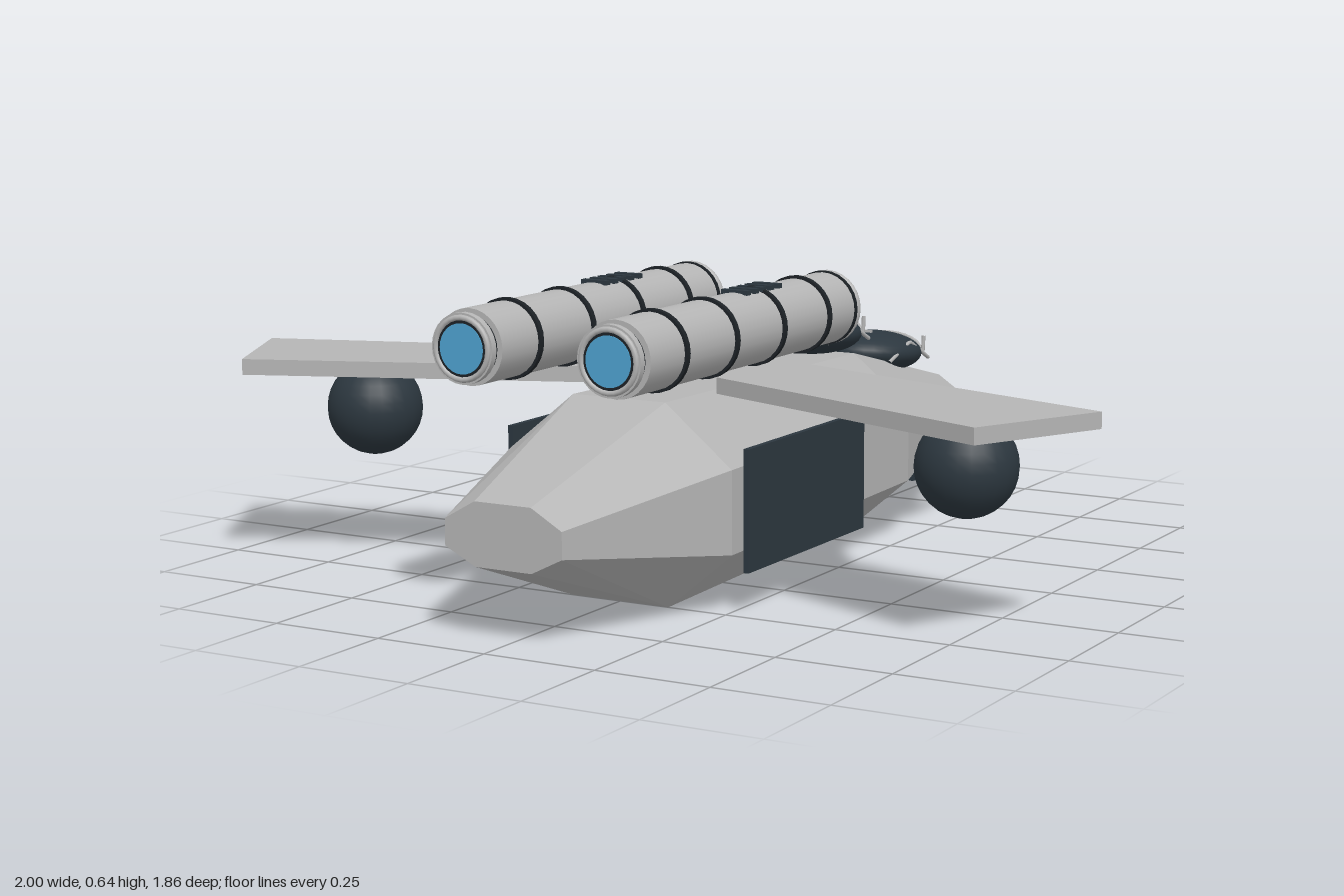
import * as THREE from 'three';

const mat = (name, color, extra = {}) => {
  const m = new THREE.MeshStandardMaterial({ color, ...extra });
  m.name = name;
  return m;
};

export function createModel() {
  const root = new THREE.Group();
  root.name = 'spacecraft';
  const hullGrey = mat('hull grey', 0xb5b5b5);
  const darkSlate = mat('dark slate', 0x2c373f);
  const black = mat('band black', 0x1d2226);
  const blue = mat('glow blue', 0x4fa3d1);

  const add = (parent, name, geo, material, x = 0, y = 0, z = 0) => {
    const mesh = new THREE.Mesh(geo, material);
    mesh.name = name;
    mesh.position.set(x, y, z);
    parent.add(mesh);
    return mesh;
  };
  // cylinder along z between two stations
  const rod = (parent, name, r, z0, z1, material, seg = 28, x = 0, y = 0) =>
    add(parent, name, new THREE.CylinderGeometry(r, r, z1 - z0, seg).rotateX(Math.PI / 2), material, x, y, (z0 + z1) / 2);
  const box = (parent, name, w, h, d, material, x, y, z) =>
    add(parent, name, new THREE.BoxGeometry(w, h, d), material, x, y, z);

  // Hull: eight-sided sections [z, topHalf, sideHalf, bottomHalf, top, upper, lower, bottom]
  const sections = [
    [0.93, 0.065, 0.135, 0.065, 0.28, 0.24, 0.185, 0.15],
    [0.5, 0.11, 0.265, 0.115, 0.425, 0.3, 0.125, 0],
    [-0.36, 0.1, 0.24, 0.105, 0.412, 0.3, 0.13, 0.015],
    [-0.93, 0.045, 0.105, 0.045, 0.28, 0.24, 0.185, 0.15],
  ];
  const rings = sections.map(([z, t, s, b, y3, y2, y1, y0]) =>
    [[b, y0], [s, y1], [s, y2], [t, y3], [-t, y3], [-s, y2], [-s, y1], [-b, y0]].map(([x, y]) => [x, y, z]));
  const pos = [];
  const tri = (a, b, c) => pos.push(...a, ...b, ...c);
  for (let r = 0; r < rings.length - 1; r++) {
    const A = rings[r], B = rings[r + 1];
    for (let i = 0; i < 8; i++) {
      const j = (i + 1) % 8;
      tri(A[i], B[i], A[j]);
      tri(A[j], B[i], B[j]);
    }
  }
  const tail = rings[0], nose = rings[rings.length - 1];
  for (let i = 1; i < 7; i++) {
    tri(tail[0], tail[i], tail[i + 1]);
    tri(nose[0], nose[i + 1], nose[i]);
  }
  const hullGeo = new THREE.BufferGeometry();
  hullGeo.setAttribute('position', new THREE.Float32BufferAttribute(pos, 3));
  hullGeo.computeVertexNormals();
  add(root, 'hull', hullGeo, hullGrey);

  // Canopies with a light frame that follows the dome
  const R = new THREE.Vector3(0.115, 0.05, 0.14);
  const onDome = (x, z) => {
    const k = 1 - (x / R.x) ** 2 - (z / R.z) ** 2;
    return new THREE.Vector3(x, R.y * Math.sqrt(Math.max(k, 0)) + 0.003, z);
  };
  const bar = (parent, name, points) => {
    const path = new THREE.CurvePath();
    for (let i = 0; i < points.length - 1; i++) path.add(new THREE.LineCurve3(points[i], points[i + 1]));
    add(parent, name, new THREE.TubeGeometry(path, 24, 0.0045, 6), hullGrey);
  };
  [[0.458, -0.33, 0.09], [0.373, -0.648, 0.1]].forEach(([y, z, tilt]) => {
    const canopy = new THREE.Group();
    canopy.name = 'canopy';
    canopy.position.set(0, y, z);
    canopy.rotation.x = -tilt;
    root.add(canopy);
    add(canopy, 'canopyDome', new THREE.SphereGeometry(1, 32, 20).scale(R.x, R.y, R.z), darkSlate);
    const cross = [];
    for (let i = -6; i <= 6; i++) cross.push(onDome(i * 0.0155, -0.085));
    bar(canopy, 'canopyCrossbar', cross);
    for (const s of [-1, 1]) {
      bar(canopy, 'canopySideFrame', [
        new THREE.Vector3(s * 0.098, -0.018, 0.1),
        new THREE.Vector3(s * 0.1, 0.028, 0),
        new THREE.Vector3(s * 0.098, -0.012, -0.11),
      ]);
      bar(canopy, 'canopyStub', [new THREE.Vector3(s * 0.095, 0, -0.085), new THREE.Vector3(s * 0.095, 0.04, -0.085)]);
    }
    box(canopy, 'canopyHandle', 0.052, 0.006, 0.01, hullGrey, 0, onDome(0, 0.057).y, 0.057);
  });

  for (const s of [-1, 1]) {
    const side = s > 0 ? 'left' : 'right';

    // Swept wing and the ball slung beneath it
    const plan = [[0.15, 0.08], [1, 0.36], [0.86, 0.64], [0.15, 0.36]];
    const shape = new THREE.Shape(plan.map(([x, z]) => new THREE.Vector2(s * x, z)));
    const wing = new THREE.ExtrudeGeometry(shape, { depth: 0.034, bevelEnabled: false }).rotateX(Math.PI / 2);
    add(root, side + 'Wing', wing, hullGrey, 0, 0.46, 0);
    add(root, side + 'WingPod', new THREE.SphereGeometry(0.105, 24, 16), darkSlate, s * 0.717, 0.328, 0.36);

    // Flat armour plate beside the hull
    box(root, side + 'SidePlate', 0.012, 0.255, 0.515, darkSlate, s * 0.283, 0.2125, 0.2175);

    // Forward gun
    const gun = new THREE.Group();
    gun.name = side + 'Gun';
    gun.position.set(s * 0.186, 0.127, 0);
    root.add(gun);
    rod(gun, 'gunBody', 0.026, -0.65, -0.49, darkSlate, 16);
    rod(gun, 'gunBarrel', 0.01, -0.868, -0.64, hullGrey, 12);
    rod(gun, 'gunTip', 0.012, -0.875, -0.864, blue, 12);

    // Engine tube
    const engine = new THREE.Group();
    engine.name = side + 'Engine';
    engine.position.set(s * 0.17, 0.555, 0);
    root.add(engine);
    rod(engine, 'engineBody', 0.078, -0.072, 0.785, hullGrey);
    for (const z of [0.05, 0.25, 0.45, 0.65]) rod(engine, 'engineBand', 0.084, z - 0.006, z + 0.006, black);
    for (let i = 0; i < 5; i++) box(engine, 'topVent', 0.062, 0.01, 0.017, darkSlate, 0, 0.078, 0.182 + i * 0.033);

    // Exhaust: neck, lip and glowing disc
    rod(engine, 'exhaustNeck', 0.066, 0.785, 0.797, black);
    rod(engine, 'exhaustLip', 0.072, 0.797, 0.812, hullGrey);
    add(engine, 'exhaustRim', new THREE.TorusGeometry(0.062, 0.006, 8, 28), hullGrey, 0, 0, 0.812);
    add(engine, 'exhaustRing', new THREE.RingGeometry(0.05, 0.057, 28), black, 0, 0, 0.8135);
    rod(engine, 'exhaustGlow', 0.051, 0.805, 0.815, blue);

    // Intake: rim, dark face, radial blades and hub
    rod(engine, 'intakeCollar', 0.081, -0.079, -0.07, black);
    rod(engine, 'intakeFace', 0.072, -0.094, -0.075, black);
    add(engine, 'intakeRim', new THREE.TorusGeometry(0.073, 0.008, 8, 28), hullGrey, 0, 0, -0.093);
    for (let i = 0; i < 12; i++) {
      const a = (i / 12) * Math.PI * 2;
      const blade = box(engine, 'intakeBlade', 0.05, 0.009, 0.008, hullGrey, Math.cos(a) * 0.045, Math.sin(a) * 0.045, -0.096);
      blade.rotation.z = a;
    }
    rod(engine, 'intakeHub', 0.021, -0.107, -0.09, hullGrey, 16);
  }
  return root;
}
